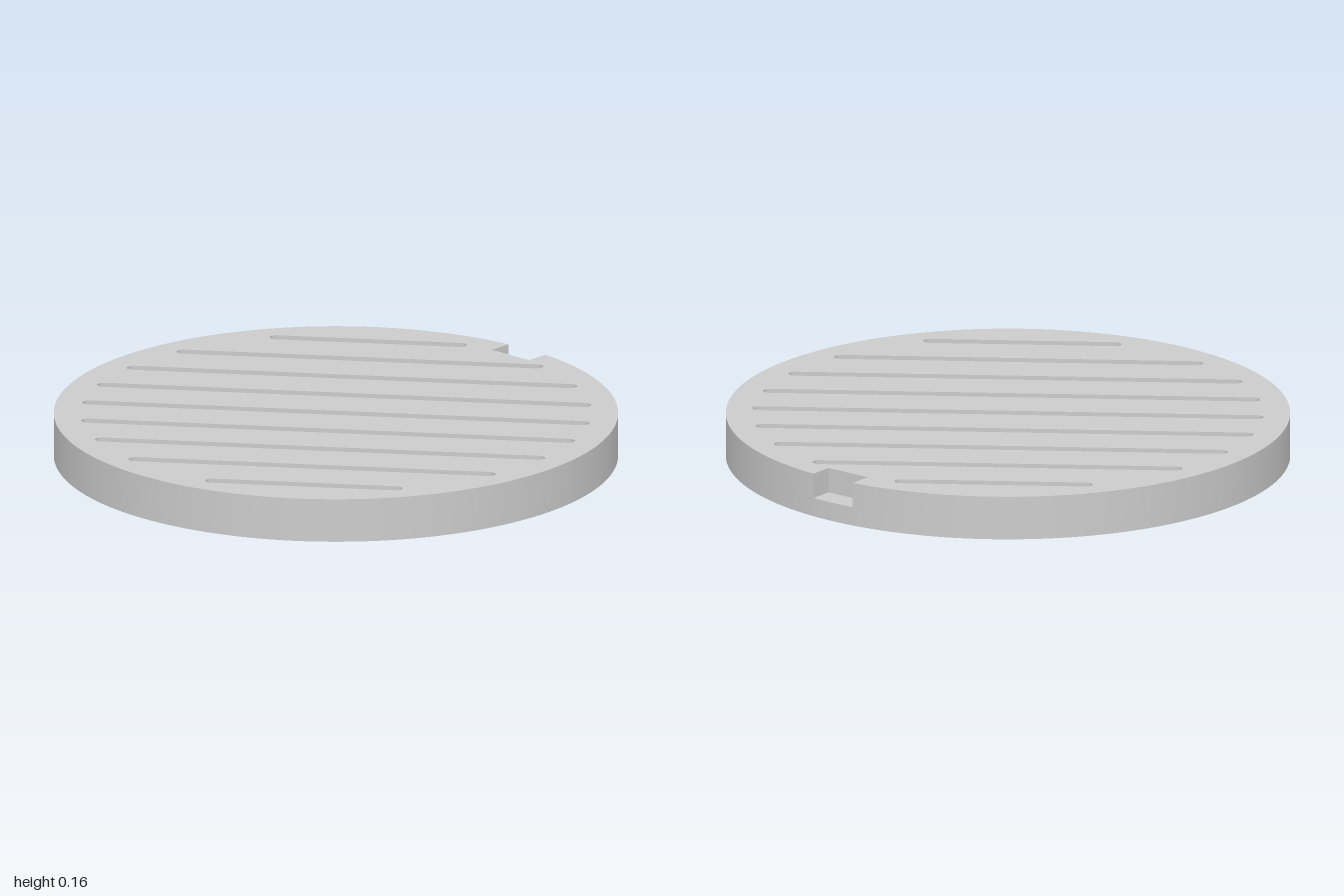
import * as THREE from 'three';

const HEIGHT = 0.158, FLOOR = 0.068;          // disc thickness, notch floor level
const NOTCH_X = 0.91, NOTCH_W = 0.0885;       // notch inner wall and half width
const SLOT_R = 0.0235, SLOT_PITCH = 0.209, SLOT_REACH = 0.907;
const SLOT_ANGLE = THREE.MathUtils.degToRad(-55);

// Plan points are (x, -z), counter-clockwise seen from above.
const arc = (from, to, n, r = 1, cx = 0, cy = 0) =>
  Array.from({ length: n + 1 }, (_, i) => {
    const a = from + (to - from) * i / n;
    return new THREE.Vector2(cx + r * Math.cos(a), cy + r * Math.sin(a));
  });

// Upright strip along a row of plan points; it faces right of the direction of travel.
function wall(points, y0, y1) {
  const pos = [], index = [];
  points.forEach((p, i) => {
    pos.push(p.x, y0, -p.y, p.x, y1, -p.y);
    const k = 2 * i;
    if (i < points.length - 1) index.push(k, k + 2, k + 3, k, k + 3, k + 1);
  });
  const g = new THREE.BufferGeometry();
  g.setAttribute('position', new THREE.Float32BufferAttribute(pos, 3));
  g.setIndex(index);
  g.computeVertexNormals();
  return g;
}

// Level face with optional holes, facing up or down.
function face(points, holes, y, up) {
  const shape = new THREE.Shape(points);
  shape.holes = holes.map(h => new THREE.Path(h));
  const g = new THREE.ShapeGeometry(shape).rotateX(-Math.PI / 2).translate(0, y, 0);
  if (!up) {
    g.index.array.reverse();
    g.computeVertexNormals();
  }
  return g;
}

// Round-ended slot, clockwise, reaching the same radius at every offset.
function slot(offset) {
  const c = Math.sqrt(SLOT_REACH ** 2 - offset ** 2) - SLOT_R;
  const q = Math.PI / 2, origin = new THREE.Vector2();
  return [
    ...arc(q, -q, 12, SLOT_R, c, offset),
    ...arc(-q, -3 * q, 12, SLOT_R, -c, offset),
  ].map(p => p.rotateAround(origin, SLOT_ANGLE));
}

export function createModel() {
  const group = new THREE.Group();
  group.name = 'slottedDisc';
  const material = new THREE.MeshStandardMaterial({ color: 0xcccccc });
  const add = (name, geometry) => {
    const mesh = new THREE.Mesh(geometry, material);
    mesh.name = name;
    group.add(mesh);
  };

  const a = Math.asin(NOTCH_W);
  const rim = arc(a, 2 * Math.PI - a, 160);
  const lip = arc(-a, a, 6);
  const inner = [new THREE.Vector2(NOTCH_X, -NOTCH_W), new THREE.Vector2(NOTCH_X, NOTCH_W)];
  const slots = [];
  for (let i = -4; i <= 4; i++) slots.push(slot(i * SLOT_PITCH));

  // Top and bottom faces
  add('topFace', face([...rim, ...inner], slots, HEIGHT, true));
  add('bottomFace', face([...rim, ...lip.slice(1, -1)], slots, 0, false));

  // Outer rim, lower below the notch
  add('rim', wall(rim, 0, HEIGHT));
  add('rimBelowNotch', wall(lip, 0, FLOOR));

  // Notch floor and its three flat walls
  add('notchFloor', face([inner[0], ...lip, inner[1]], [], FLOOR, true));
  const corners = [lip[0], ...inner, lip[lip.length - 1]];
  for (let i = 0; i < 3; i++) add('notchWall', wall([corners[i], corners[i + 1]], FLOOR, HEIGHT));

  // Slot walls
  slots.forEach(s => add('slotWall', wall([...s, s[0]], 0, HEIGHT)));

  return group;
}
